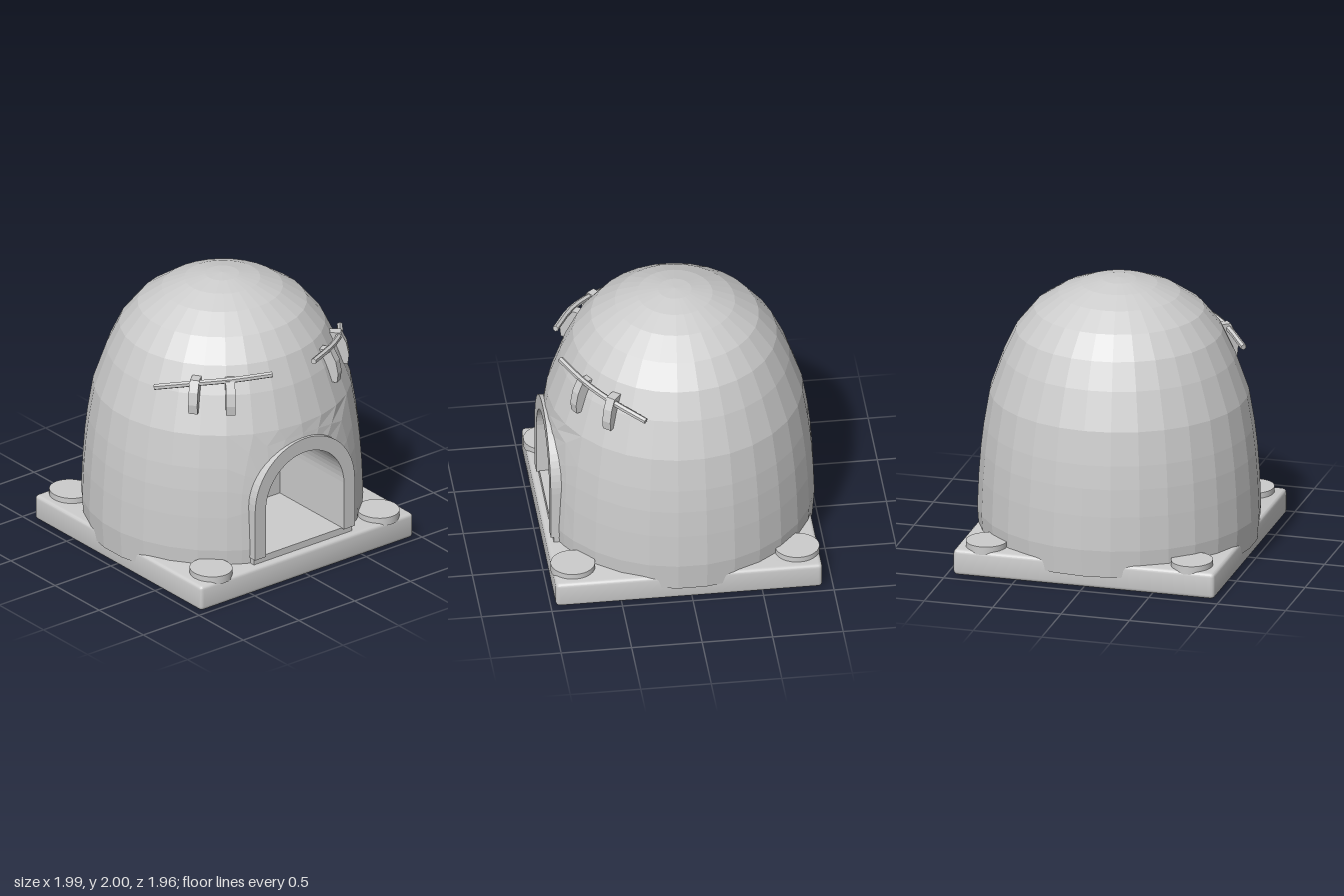
import * as THREE from 'three';
import { toCreasedNormals } from 'three/addons/utils/BufferGeometryUtils.js';
import { RoundedBoxGeometry } from 'three/addons/geometries/RoundedBoxGeometry.js';

const ZS = 0.985; // the dome is slightly shallower than wide
const STEP = Math.PI / 15; // 30 facets around
// dome profile, [radius, height]
const PROFILE = [
  [0.985, 0.1], [1, 0.3], [0.99, 0.55], [0.975, 0.75], [0.955, 0.92], [0.915, 1.16],
  [0.82, 1.43], [0.73, 1.62], [0.6, 1.78], [0.43, 1.895], [0.27, 1.96], [0.12, 1.992], [0, 2],
];
const SPLIT = 5; // profile row above the doorway

function flat(geometry) {
  const g = geometry.index ? geometry.toNonIndexed() : geometry;
  g.computeVertexNormals();
  return g;
}

function radiusAt(y) {
  for (let i = 1; i < PROFILE.length; i++) {
    const [r0, y0] = PROFILE[i - 1], [r1, y1] = PROFILE[i];
    if (y <= y1) return THREE.MathUtils.lerp(r0, r1, (y - y0) / (y1 - y0));
  }
  return 0;
}

function onDome(x, y) {
  const r = radiusAt(y);
  return [x, y, Math.sqrt(r * r - x * x) * ZS];
}

// Dome wall around the doorway, lofted from the arch out to the sector border
function doorwayWall() {
  const border = [], arch = [], side = 3 * STEP;
  for (let i = 0; i <= SPLIT; i++) border.push([-PROFILE[i][0] * Math.sin(side), PROFILE[i][1]]);
  for (let i = -2; i <= 2; i++) border.push([PROFILE[SPLIT][0] * Math.sin(i * STEP), PROFILE[SPLIT][1]]);
  for (let i = SPLIT; i >= 0; i--) border.push([PROFILE[i][0] * Math.sin(side), PROFILE[i][1]]);
  for (let i = 0; i <= 16; i++) {
    if (i < 2) arch.push([-0.41, PROFILE[i][1]]);
    else if (i > 14) arch.push([0.41, PROFILE[16 - i][1]]);
    else {
      const a = Math.PI * (1 - (i - 2) / 12);
      arch.push([0.41 * Math.cos(a), 0.6 + 0.41 * Math.sin(a)]);
    }
  }
  const pos = [], rings = 2;
  const point = (i, k) => onDome(
    THREE.MathUtils.lerp(arch[i][0], border[i][0], k / rings),
    THREE.MathUtils.lerp(arch[i][1], border[i][1], k / rings));
  for (let k = 0; k < rings; k++) {
    for (let i = 0; i < 16; i++) {
      const a = point(i, k), b = point(i + 1, k), c = point(i + 1, k + 1), d = point(i, k + 1);
      pos.push(...a, ...b, ...c, ...a, ...c, ...d);
    }
  }
  const g = new THREE.BufferGeometry();
  g.setAttribute('position', new THREE.Float32BufferAttribute(pos, 3));
  return flat(g);
}

// Extruded arch band, from z0 to z1
function archBand(inner, outer, bottom, z0, z1) {
  const s = new THREE.Shape();
  s.moveTo(-outer, bottom);
  s.lineTo(-inner, bottom);
  s.lineTo(-inner, 0.6);
  s.absarc(0, 0.6, inner, Math.PI, 0, true);
  s.lineTo(inner, bottom);
  s.lineTo(outer, bottom);
  s.lineTo(outer, 0.61);
  s.absarc(0, 0.61, outer, 0, Math.PI, false);
  s.closePath();
  const g = new THREE.ExtrudeGeometry(s, { depth: z1 - z0, bevelEnabled: false, curveSegments: 14 });
  return flat(g.translate(0, 0, z0));
}

export function createModel() {
  const group = new THREE.Group();
  const stone = new THREE.MeshStandardMaterial({ color: 0xcccccc });
  stone.name = 'light grey';
  const wallStone = stone;

  const add = (name, geometry, x = 0, y = 0, z = 0, parent = group) => {
    const m = new THREE.Mesh(geometry, wallStone);
    m.name = name;
    m.position.set(x, y, z);
    parent.add(m);
    return m;
  };

  // Base slab with four round studs
  add('base', toCreasedNormals(new RoundedBoxGeometry(1.91, 0.19, 1.89, 2, 0.03), 0.4), 0, 0.095, 0.02);
  const stud = toCreasedNormals(new THREE.CylinderGeometry(0.147, 0.147, 0.06, 32), 0.6);
  for (const x of [-0.75, 0.75]) {
    for (const z of [-0.77, 0.82]) add('stud', stud, x, 0.2, z).scale.z = 1.07;
  }

  // Dome: open wall, wall piece around the doorway, closed crown
  const v = PROFILE.map(([r, y]) => new THREE.Vector2(r, y));
  const rim = new THREE.Vector2(0.9, 0.1);
  const wall = new THREE.LatheGeometry([rim, ...v.slice(0, SPLIT + 1)], 24, 3 * STEP, 24 * STEP);
  add('domeWall', flat(wall.scale(1, 1, ZS)));
  add('domeCrown', flat(new THREE.LatheGeometry(v.slice(SPLIT), 30).scale(1, 1, ZS)));
  add('doorwayWall', doorwayWall());

  // Door frame and the chamber behind it
  add('doorFrame', archBand(0.35, 0.447, 0.235, 0.78, 0.937));
  add('chamberWall', archBand(0.35, 0.37, 0.2, 0.2, 0.85));
  add('chamberFloor', new THREE.BoxGeometry(0.72, 0.06, 0.72), 0, 0.21, 0.555);
  add('sill', new THREE.BoxGeometry(0.88, 0.05, 0.12), 0, 0.21, 0.855);
  add('chamberBack', new THREE.BoxGeometry(0.74, 0.8, 0.02), 0, 0.58, 0.2);

  // Small hooded ledge on the back wall
  add('ledge', new THREE.BoxGeometry(0.25, 0.03, 0.03), 0, 0.395, 0.22);
  const hood = new THREE.ExtrudeGeometry(new THREE.Shape([
    new THREE.Vector2(-0.06, 0.4), new THREE.Vector2(0.06, 0.4), new THREE.Vector2(0.12, 0.44),
    new THREE.Vector2(0.08, 0.468), new THREE.Vector2(-0.08, 0.468), new THREE.Vector2(-0.12, 0.44),
  ]), { depth: 0.1, bevelEnabled: false });
  const p = hood.attributes.position;
  for (let i = 0; i < p.count; i++) {
    if (p.getZ(i) > 0.05) p.setZ(i, 0.04 + (p.getY(i) - 0.4) * 1.2);
  }
  add('ledgeHood', flat(hood), 0, 0, 0.2);

  // Curved rods above the door, each on two brackets
  const hexagon = new THREE.Shape(Array.from({ length: 6 }, (_, i) =>
    new THREE.Vector2(0.022 * Math.cos(i * Math.PI / 3), 0.022 * Math.sin(i * Math.PI / 3))));
  const bracketShape = new THREE.Shape([
    [0.74, 1.55], [0.74, 1.4], [0.82, 1.31], [0.885, 1.31], [0.893, 1.38], [0.875, 1.47], [0.835, 1.55],
  ].map(([r, y]) => new THREE.Vector2(r, y)));
  const bracket = flat(new THREE.ExtrudeGeometry(bracketShape, { depth: 0.066, bevelEnabled: false })
    .translate(0, 0, -0.033));
  const rods = [
    { name: 'rightRod', path: [[-0.83, 1.46, 0.28], [-0.64, 1.52, 0.51], [-0.45, 1.553, 0.68], [-0.2, 1.575, 0.82]],
      feet: [[-0.46, 0.67], [-0.65, 0.51]] },
    { name: 'leftRod', path: [[0.81, 1.455, 0.31], [0.63, 1.517, 0.53], [0.43, 1.55, 0.69], [0.16, 1.57, 0.83]],
      feet: [[0.39, 0.69], [0.63, 0.53]] },
  ];
  for (const { name, path, feet } of rods) {
    const curve = new THREE.CatmullRomCurve3(path.map(q => new THREE.Vector3(...q)));
    add(name, flat(new THREE.ExtrudeGeometry(hexagon, { steps: 9, extrudePath: curve, bevelEnabled: false })));
    for (const [x, z] of feet) add('rodBracket', bracket).rotation.y = Math.atan2(-z, x);
  }
  return group;
}
